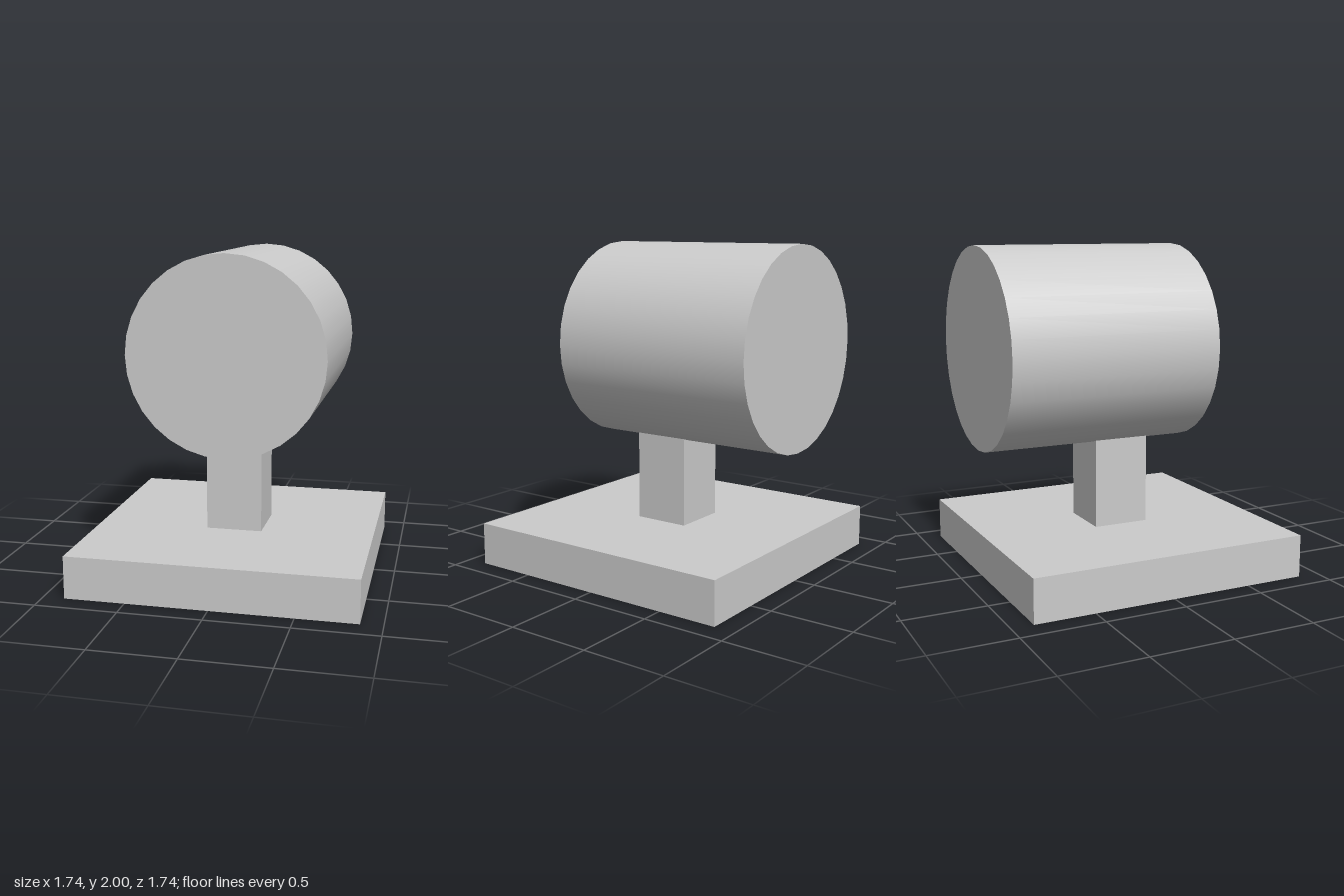
import * as THREE from 'three';

export function createModel() {
  const model = new THREE.Group();
  const material = new THREE.MeshStandardMaterial({ color: 0xcccccc });

  const add = (name, geometry, y, z = 0) => {
    const mesh = new THREE.Mesh(geometry, material);
    mesh.name = name;
    mesh.position.set(0, y, z);
    model.add(mesh);
    return mesh;
  };

  // Square base slab
  const baseWidth = 1.739, baseHeight = 0.261;
  add('base', new THREE.BoxGeometry(baseWidth, baseHeight, baseWidth), baseHeight / 2);

  // Square post, its top sunk into the drum
  const postWidth = 0.348, postTop = 0.87;
  const postHeight = postTop - baseHeight;
  add('post', new THREE.BoxGeometry(postWidth, postHeight, postWidth), baseHeight + postHeight / 2);

  // Drum lying along z, its back end flush with the back of the base
  const radius = 0.609, length = 1.304;
  const drum = new THREE.CylinderGeometry(radius, radius, length, 32).rotateX(Math.PI / 2);
  add('drum', drum, 2 - radius, (length - baseWidth) / 2);

  return model;
}
